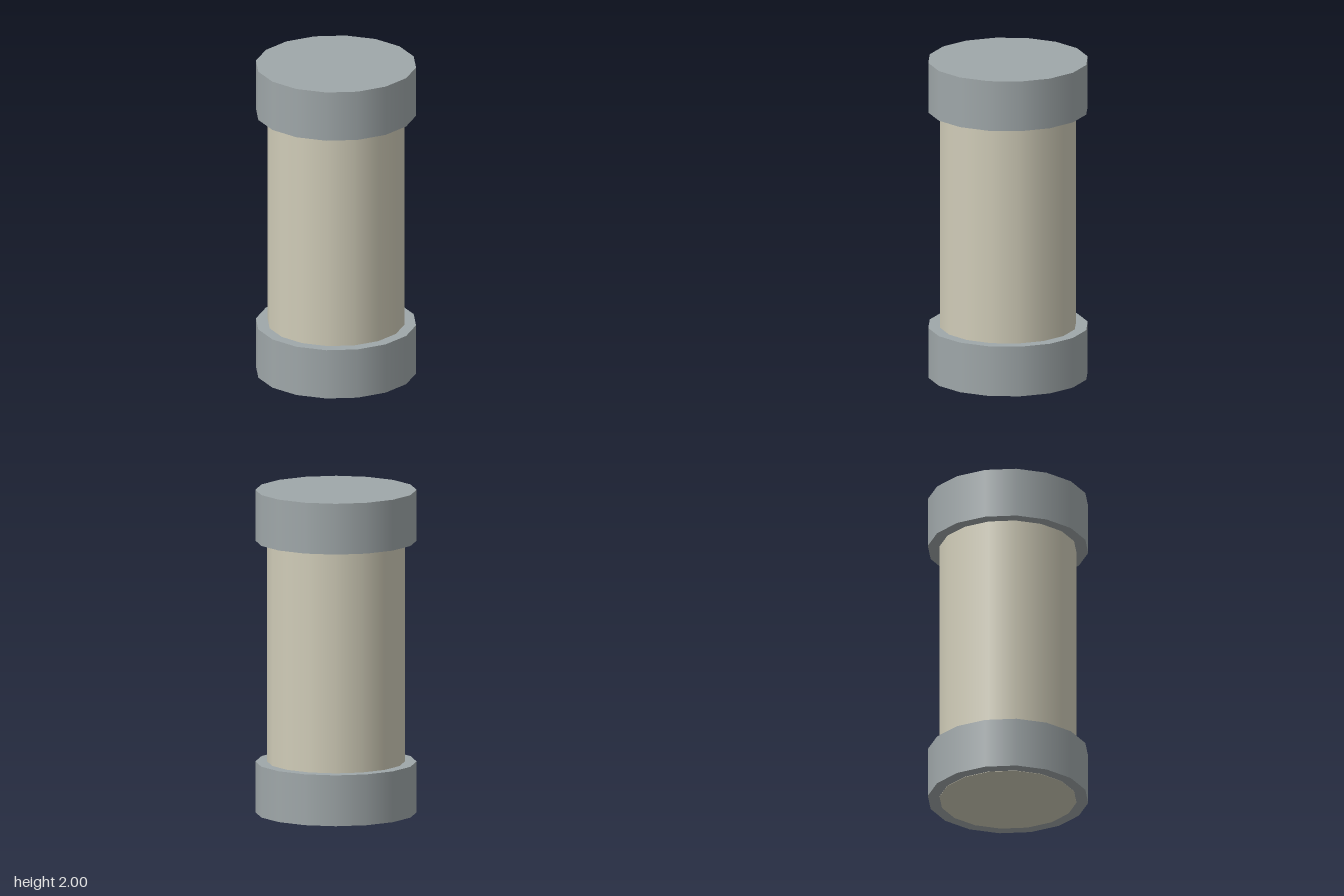
import * as THREE from 'three';

export function createModel() {
  const group = new THREE.Group();
  const metal = new THREE.MeshStandardMaterial({ name: 'greyMetal', color: 0x9fa7a9 });
  const cream = new THREE.MeshStandardMaterial({ name: 'creamBody', color: 0xd0ccb8 });

  // Upright 16-sided drum between two heights
  function addDrum(name, radius, bottom, top, material) {
    const geometry = new THREE.CylinderGeometry(radius, radius, top - bottom, 16);
    const mesh = new THREE.Mesh(geometry, material);
    mesh.name = name;
    mesh.position.y = (bottom + top) / 2;
    group.add(mesh);
  }

  // Body runs through both collars and shows on the underside
  addDrum('body', 0.42, 0, 1.98, cream);
  addDrum('bottomCollar', 0.492, 0.002, 0.317, metal);
  addDrum('topCap', 0.492, 1.685, 2, metal);

  return group;
}
